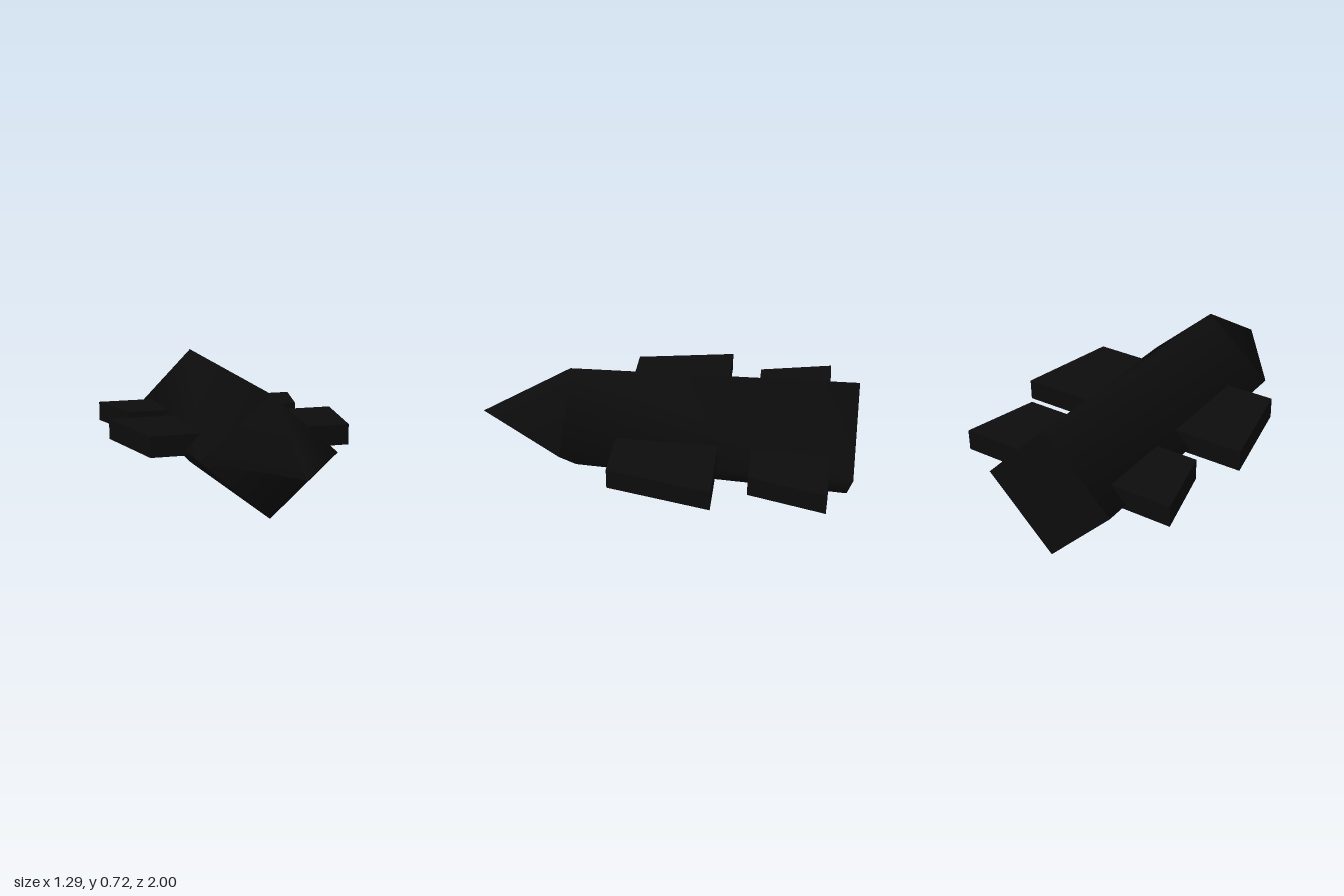
import * as THREE from 'three';

const MID_Y = 0.358;

export function createModel() {
  const model = new THREE.Group();
  model.name = 'dart';
  const black = new THREE.MeshStandardMaterial({ color: 0x0c0c0c });
  black.name = 'black';

  const add = (geometry, name) => {
    const mesh = new THREE.Mesh(geometry, black);
    mesh.name = name;
    model.add(mesh);
  };

  // Diamond body: unit four-sided tube whose two ends get their own half width and half height
  const body = new THREE.CylinderGeometry(1, 1, 1.5, 4).rotateX(Math.PI / 2).translate(0, 0, -0.25);
  const p = body.attributes.position;
  for (let i = 0; i < p.count; i++) {
    const [w, h] = p.getZ(i) > 0 ? [0.36, 0.316] : [0.355, 0.358];
    p.setX(i, p.getX(i) * w);
    p.setY(i, p.getY(i) * h);
  }
  body.computeVertexNormals();
  body.translate(0, MID_Y, 0);
  add(body, 'body');

  // Pointed nose
  const nose = new THREE.ConeGeometry(1, 0.5, 4, 1, true).rotateX(Math.PI / 2);
  nose.scale(0.36, 0.316, 1).translate(0, MID_Y, 0.75);
  add(nose, 'nose');

  // Fins: flat trapezoids that widen toward the rear
  const fins = [
    { name: 'FrontFin', zFront: 0.22, zBack: -0.31, xFront: 0.54, xBack: 0.645 },
    { name: 'RearFin', zFront: -0.48, zBack: -0.87, xFront: 0.5, xBack: 0.595 },
  ];
  for (const f of fins) {
    for (const side of [1, -1]) {
      const outline = new THREE.Shape([
        [0.2, f.zFront], [f.xFront, f.zFront], [f.xBack, f.zBack], [0.2, f.zBack],
      ].map(([x, z]) => new THREE.Vector2(side * x, -z)));
      const fin = new THREE.ExtrudeGeometry(outline, { depth: 0.11, bevelEnabled: false });
      fin.rotateX(-Math.PI / 2).translate(0, 0.33, 0);
      add(fin, (side > 0 ? 'left' : 'right') + f.name);
    }
  }
  return model;
}
